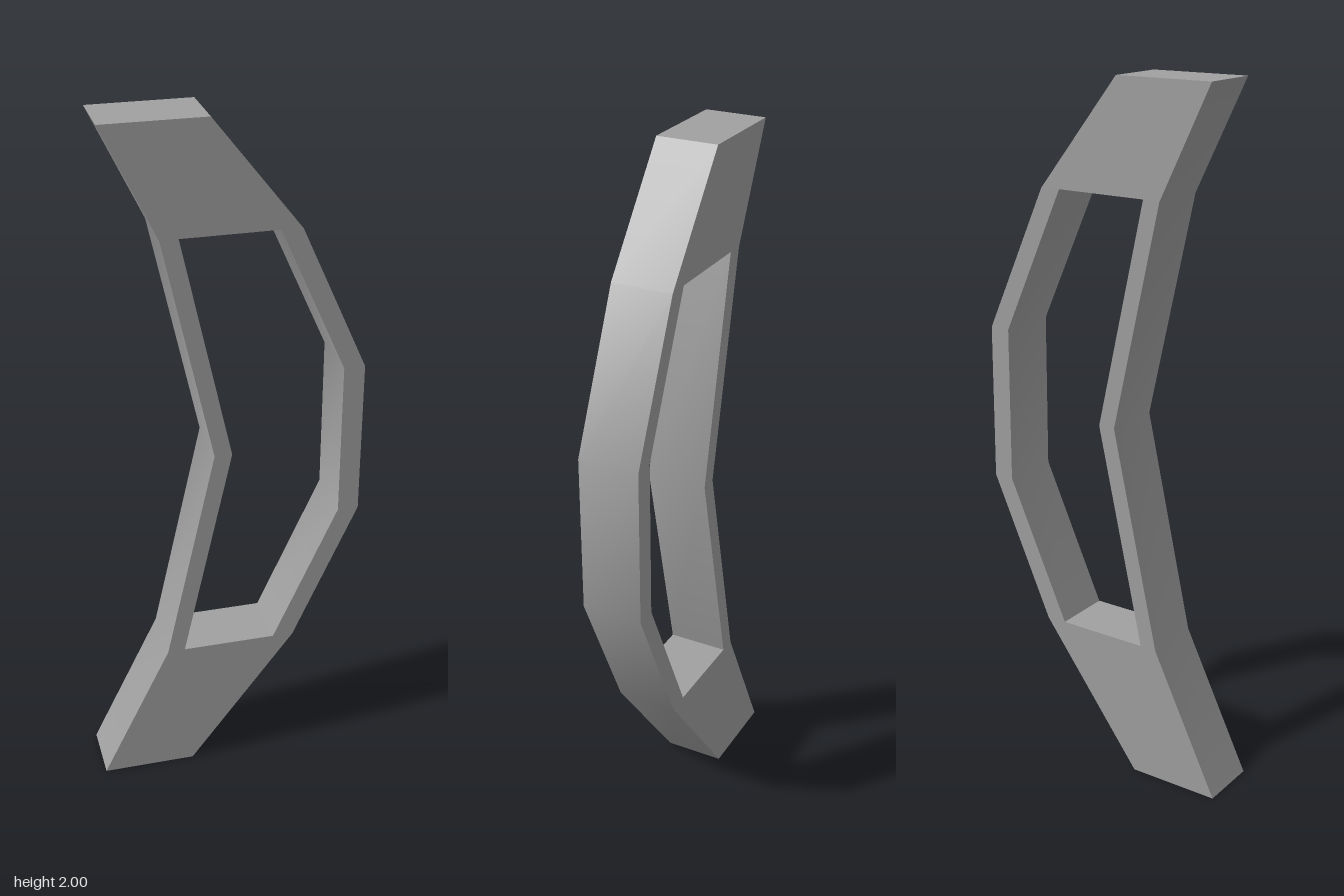
import * as THREE from 'three';
import { toCreasedNormals } from 'three/addons/utils/BufferGeometryUtils.js';

const points = (list) => list.map(([x, y]) => new THREE.Vector2(x, y));

export function createModel() {
  const group = new THREE.Group();
  group.name = 'handle';
  const grey = new THREE.MeshStandardMaterial({ color: 0xa0a0a0 });
  grey.name = 'grey';

  // Bent outer outline, anticlockwise from the foot
  const outline = new THREE.Shape(points([
    [-0.385, 0], [-0.115, 0], [0.195, 0.41], [0.382, 0.825], [0.382, 1.275],
    [0.195, 1.69], [-0.05, 2], [-0.335, 2], [-0.185, 1.69], [-0.043, 1.05], [-0.185, 0.41],
  ]));
  // Opening between the thin grip and the faceted guard
  outline.holes.push(new THREE.Path(points([
    [-0.135, 0.412], [0.007, 1.05], [-0.135, 1.692],
    [0.135, 1.692], [0.322, 1.275], [0.322, 0.825], [0.135, 0.412],
  ])));

  const depth = 0.175;
  const geometry = new THREE.ExtrudeGeometry(outline, { depth, bevelEnabled: false });
  geometry.translate(0, 0, -depth / 2);

  // Gentle bends are smooth, corners stay sharp
  const frame = new THREE.Mesh(toCreasedNormals(geometry, 0.6), grey);
  frame.name = 'handleFrame';
  group.add(frame);
  return group;
}
